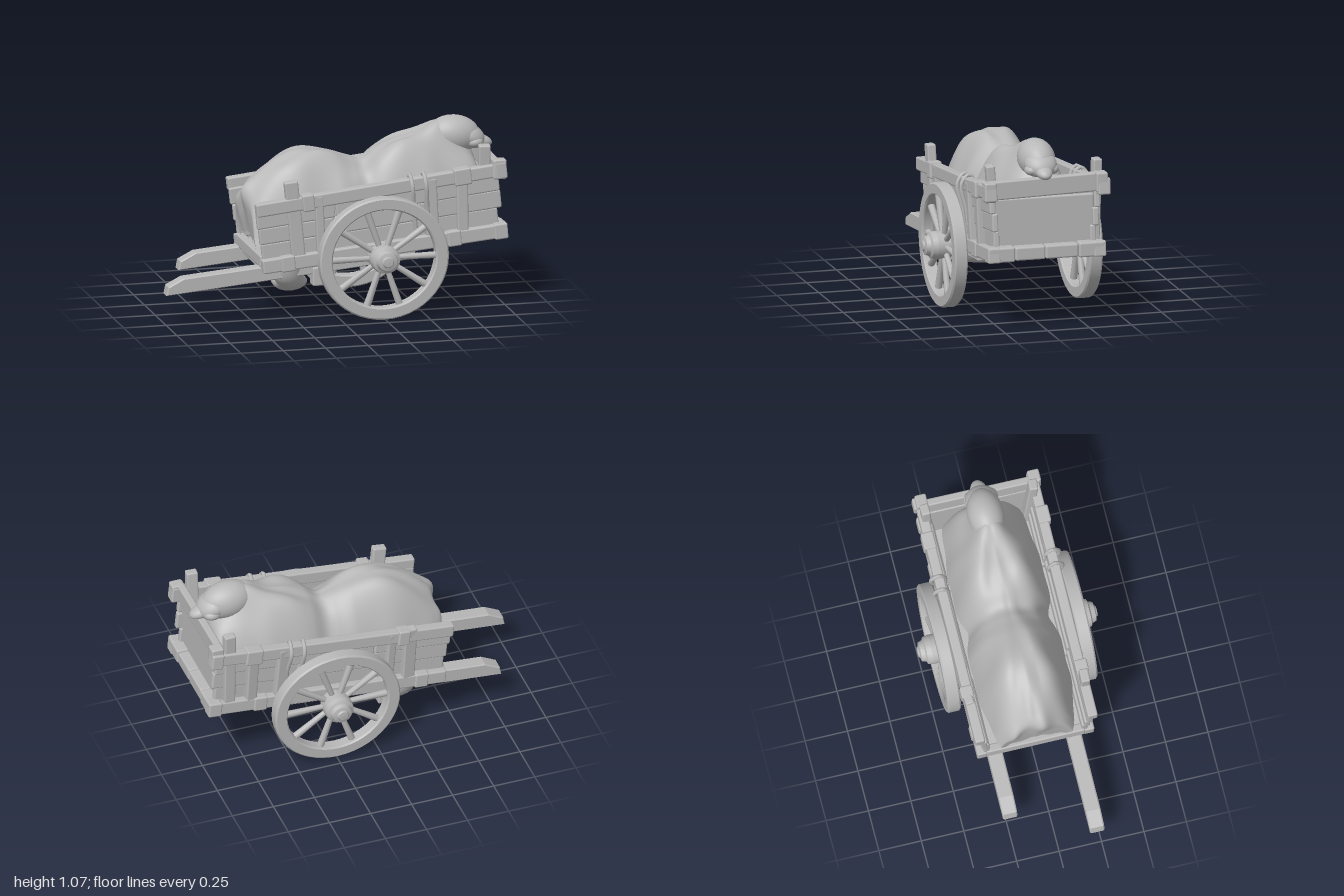
import * as THREE from 'three';
import { RoundedBoxGeometry } from 'three/addons/geometries/RoundedBoxGeometry.js';

const V = (x, y, z) => new THREE.Vector3(x, y, z);

export function createModel() {
  const root = new THREE.Group();
  root.name = 'coveredHandcart';
  const grey = new THREE.MeshStandardMaterial({ color: 0xb8b8b8, side: THREE.DoubleSide });
  grey.name = 'grey';

  const add = (name, geo, parent = root) => {
    const m = new THREE.Mesh(geo, grey);
    m.name = name;
    parent.add(m);
    return m;
  };
  // Rounded timber running from a to b, with height h and width w
  const beam = (name, a, b, h, w, r = 0.01) => {
    const d = b.clone().sub(a);
    const m = add(name, new RoundedBoxGeometry(d.length(), h, w, 2, Math.min(r, h * 0.4, w * 0.4)));
    m.position.copy(a).add(b).multiplyScalar(0.5);
    m.quaternion.setFromUnitVectors(V(1, 0, 0), d.normalize());
    return m;
  };
  // Heights of the sloping bed rail and top rail
  const low = x => 0.335 + 0.092 * (x + 0.44);
  const high = x => 0.67 + 0.109 * (x + 0.48);

  // Wheels
  const rim = [[0.306, -0.03], [0.314, -0.039], [0.372, -0.039], [0.381, -0.03],
    [0.381, 0.03], [0.372, 0.039], [0.314, 0.039], [0.306, 0.03], [0.306, -0.03]];
  const hub = [[0, -0.05], [0.07, -0.05], [0.084, -0.03], [0.086, 0.05], [0.08, 0.08],
    [0.064, 0.088], [0.056, 0.112], [0.034, 0.118], [0.028, 0.126], [0, 0.128]];
  const lathe = (pts, n) => {
    // doubled corners keep the turned edges crisp
    const p = pts.flatMap(([r, y], i) => {
      const q = new THREE.Vector2(r, y);
      return i && i < pts.length - 1 ? [q, q.clone()] : [q];
    });
    return new THREE.LatheGeometry(p, n);
  };
  for (const s of [1, -1]) {
    const wheel = new THREE.Group();
    wheel.name = s > 0 ? 'frontWheel' : 'rearWheel';
    add('rim', lathe(rim, 48), wheel);
    add('hub', lathe(hub, 20), wheel);
    for (let i = 0; i < 10; i++) {
      const a = i * Math.PI / 5;
      const sp = add('spoke', new THREE.CylinderGeometry(0.022, 0.016, 0.26, 8), wheel);
      sp.position.set(Math.cos(a) * 0.19, 0, Math.sin(a) * 0.19);
      sp.quaternion.setFromUnitVectors(V(0, 1, 0), V(Math.cos(a), 0, Math.sin(a)));
    }
    wheel.rotation.x = s * Math.PI / 2;
    wheel.position.set(0.243, 0.365, s * 0.402);
    wheel.scale.z = 0.94;
    root.add(wheel);
  }
  beam('axle', V(0.24, 0.34, -0.4), V(0.24, 0.34, 0.4), 0.05, 0.06);

  // Bed boards
  for (let i = 0; i < 4; i++) {
    const z = -0.2325 + i * 0.155;
    beam('floorBoard', V(-0.43, low(-0.43) - 0.005, z), V(0.95, low(0.95) - 0.005, z), 0.045, 0.153, 0.004);
  }
  beam('floorCrossbar', V(-0.4, low(-0.4) - 0.03, -0.3), V(-0.4, low(-0.4) - 0.03, 0.3), 0.045, 0.07);

  // Both side walls, shafts and fittings
  for (const s of [1, -1]) {
    const out = s > 0 ? 0.325 : 0.338; // the rear wall leans out a little further
    beam('bedRail', V(-0.45, low(-0.45), s * 0.315), V(0.98, low(0.98), s * 0.315), 0.082, 0.06);
    beam('topRail', V(-0.49, high(-0.49), s * out), V(0.98, high(0.98), s * out), 0.078, 0.058);
    // three rows of short planks, stepping outward as they rise
    const cuts = [-0.45, -0.02, 0.52, 0.95];
    for (let r = 0; r < 3; r++) {
      for (let k = 0; k < 3; k++) {
        const y = x => THREE.MathUtils.lerp(low(x) + 0.03, high(x) - 0.02, (r + 0.5) / 3);
        const x0 = cuts[k] + 0.003 - (k ? 0 : r * 0.018);
        const x1 = cuts[k + 1] - 0.003 + (k === 2 ? (r % 2) * 0.015 : 0);
        const z = s * (0.288 + r * 0.012 + (k % 2) * 0.004);
        beam('sidePlank', V(x0, y(x0), z), V(x1, y(x1), z), 0.098 + k * 0.004, 0.036);
      }
    }
    // upright stakes, leaning with the wall: bottom x, top x, extra height, width, bottom z, top z
    const stakes = [[-0.1, -0.12, 0.03, 0.05, 0.312, out + 0.005],
      [0.56, 0.535, 0.02, 0.075, 0.312, out + 0.005], [0.735, 0.725, 0.02, 0.065, 0.312, out + 0.005]];
    // tall corner stakes, inside the front wall and outside the rear one
    if (s > 0) stakes.push([-0.23, -0.285, 0.14, 0.08, 0.312, 0.328], [0.865, 0.865, 0.155, 0.068, 0.265, 0.308]);
    else stakes.push([-0.22, -0.23, 0.05, 0.075, 0.312, 0.345], [0.865, 0.865, 0.155, 0.068, 0.312, 0.33]);
    for (const [xb, xt, up, w, zb, zt] of stakes) {
      beam('sideStake', V(xb, low(xb) - 0.03, s * zb), V(xt, high(xt) + up, s * zt), w, 0.052);
    }
    // blocks wrapped round the rails
    for (const [x, w] of [[-0.185, 0.035], [0.725, 0.05], [0.95, 0.035]]) {
      beam('topRailBlock', V(x - w, high(x - w), s * (out + 0.006)), V(x + w, high(x + w), s * (out + 0.006)), 0.098, 0.074);
    }
    for (const x of [-0.3, 0.68, 0.955]) {
      beam('bedRailBlock', V(x - 0.04, low(x - 0.04), s * 0.315), V(x + 0.04, low(x + 0.04), s * 0.315), 0.092, 0.074);
    }
    // rope loops over the top rail
    for (const x of [0.42, 0.5]) {
      const h = high(x);
      const path = new THREE.CatmullRomCurve3([V(x, h + 0.055, s * out), V(x + 0.005, h, s * (out + 0.045)),
        V(x + 0.02, h - 0.15, s * 0.345), V(x + 0.04, h - 0.3, s * 0.326), V(x + 0.02, h - 0.15, s * 0.318),
        V(x, h, s * (out - 0.035))], true);
      add('ropeLoop', new THREE.TubeGeometry(path, 40, 0.012, 8, true));
    }
    // shafts with worn, sloping tips; one is broken short
    const x0 = s > 0 ? -1 : -0.81;
    const side = new THREE.Shape([[x0, 0], [x0 + 0.01, 0.05], [x0 + 0.1, 0.088], [0.47, 0.085], [0.47, 0]]
      .map(([x, y]) => new THREE.Vector2(x, y + 0.182 + 0.09 * (x + 1) + (s > 0 ? 0 : 0.012))));
    const shaft = add('shaft', new THREE.ExtrudeGeometry(side, {
      depth: 0.072, bevelThickness: 0.007, bevelSize: 0.006, bevelOffset: -0.006, bevelSegments: 1 }));
    shaft.position.z = (s > 0 ? 0.226 : -0.24) - 0.036;
    beam('shaftBracket', V(-0.1, 0.19, s * 0.238), V(-0.1, 0.3, s * 0.238), 0.08, 0.085);
    beam('axleBlock', V(0.24, 0.29, s * 0.31), V(0.24, 0.4, s * 0.31), 0.1, 0.06);
  }
  beam('shaftCrossbar', V(-0.1, 0.232, -0.22), V(-0.1, 0.232, 0.22), 0.062, 0.05);

  // Closed end: panel, sill blocks and top bar
  beam('endPanel', V(0.915, 0.62, -0.295), V(0.915, 0.62, 0.295), 0.32, 0.03);
  for (const [a, b, e] of [[-0.345, -0.19, 0.008], [-0.188, 0.007, 0], [0.009, 0.187, 0], [0.19, 0.35, 0.008]]) {
    beam('endSill', V(0.955, 0.465, a), V(0.955, 0.465, b), 0.08 + e, 0.07 + e, 0.012);
  }
  beam('endTopBar', V(0.925, 0.85, -0.355), V(0.925, 0.832, 0.36), 0.11, 0.045);
  for (const s of [1, -1]) {
    beam('endBarBlock', V(0.945, 0.842 - s * 0.01, s * 0.298), V(0.945, 0.842 - s * 0.01, s * 0.366), 0.115, 0.075);
  }
  // Open end sill
  beam('tailSill', V(-0.43, low(-0.43) + 0.02, -0.29), V(-0.43, low(-0.43) + 0.02, 0.29), 0.07, 0.05);

  // Draped cloth: each row is x, crest height, half width, hem height, roundness
  const rows = [[-0.45, 0.46, 0.17, 0.4, 4], [-0.465, 0.6, 0.2, 0.44, 3.4], [-0.465, 0.715, 0.21, 0.47, 3],
    [-0.42, 0.785, 0.23, 0.5, 2.8], [-0.31, 0.878, 0.255, 0.52, 2.8], [-0.16, 0.935, 0.272, 0.54, 2.8],
    [0.02, 0.913, 0.272, 0.55, 2.8], [0.14, 0.875, 0.258, 0.55, 2.8], [0.21, 0.86, 0.24, 0.56, 3],
    [0.3, 0.92, 0.265, 0.57, 3.3], [0.42, 0.968, 0.275, 0.58, 3.6], [0.55, 0.98, 0.27, 0.59, 3.4],
    [0.65, 0.975, 0.258, 0.6, 2.8], [0.76, 0.94, 0.25, 0.61, 2.4], [0.86, 0.87, 0.225, 0.61, 2.2], [0.89, 0.7, 0.19, 0.59, 2]];
  const shape = new THREE.CatmullRomCurve3(rows.map(r => V(r[0], r[1], r[2])));
  const fall = new THREE.CatmullRomCurve3(rows.map(r => V(r[3], r[4], 0)));
  const bump = (x, c, w) => Math.exp(-(((x - c) / w) ** 2));
  const cloth = new THREE.PlaneGeometry(1, 1, 80, 110);
  const p = cloth.attributes.position;
  for (let i = 0; i < p.count; i++) {
    const v = Math.sin(p.getX(i) * Math.PI), t = 0.5 - p.getY(i);
    // plain (not arc-length) sampling keeps both curves in step
    const c = shape.getPoint(t), f = fall.getPoint(t);
    const e = Math.max(0, 1 - Math.abs(v) ** f.y);
    // soft diagonal folds, a raised neck, and two feet at the open end
    const fold = Math.sin(Math.abs(v) * 7 + c.x * 11) * 0.012 + Math.sin(v * 5 - c.x * 17) * 0.007;
    const neck = 0.085 * bump(c.x, 0.69, 0.12) * bump(v * c.z, 0, 0.1);
    const feet = bump(t, 0.13, 0.07) * (0.035 * bump(v, 0.15, 0.25) + 0.025 * bump(v, -0.65, 0.2));
    p.setXYZ(i, c.x - feet, f.x + (c.y - f.x) * e + neck + fold * Math.min(1, 4 * Math.abs(v)) * (0.4 + e * 0.6),
      v * (c.z + Math.sin(c.x * 24) * 0.004));
  }
  cloth.computeVertexNormals();
  add('drapedCloth', cloth);

  // Rounded, covered head end
  const lump = (name, x, y, z, rx, ry, rz, tilt = 0) => {
    const m = add(name, new THREE.SphereGeometry(1, 28, 18));
    m.position.set(x, y, z);
    m.scale.set(rx, ry, rz);
    m.rotation.z = tilt;
  };
  lump('coveredHead', 0.76, 0.967, 0, 0.155, 0.113, 0.106, -0.1);
  lump('coveredBrow', 0.85, 0.955, 0, 0.1, 0.068, 0.095, -0.5);
  lump('coveredMuzzle', 0.91, 0.925, 0, 0.08, 0.036, 0.05, -0.3);
  for (const s of [1, -1]) lump('coveredCheek', 0.87, 0.928, s * 0.06, 0.05, 0.032, 0.04);

  // Cloth roll slung beneath the bed
  const sling = new THREE.CatmullRomCurve3([V(-0.27, 0.33, 0.24), V(-0.255, 0.235, 0.21), V(-0.24, 0.187, 0.12),
    V(-0.235, 0.178, 0), V(-0.23, 0.186, -0.12), V(-0.22, 0.22, -0.2), V(-0.24, 0.33, -0.23)]);
  const roll = new THREE.TubeGeometry(sling, 48, 0.052, 16);
  const q = roll.attributes.position;
  for (let i = 0; i < q.count; i++) {
    const x = q.getX(i), y = q.getY(i), z = q.getZ(i);
    q.setX(i, -0.235 + (x + 0.24) * 1.7 + Math.sin(z * 25 + y * 20) * 0.01);
  }
  roll.computeVertexNormals();
  add('slungRoll', roll);

  return root;
}
